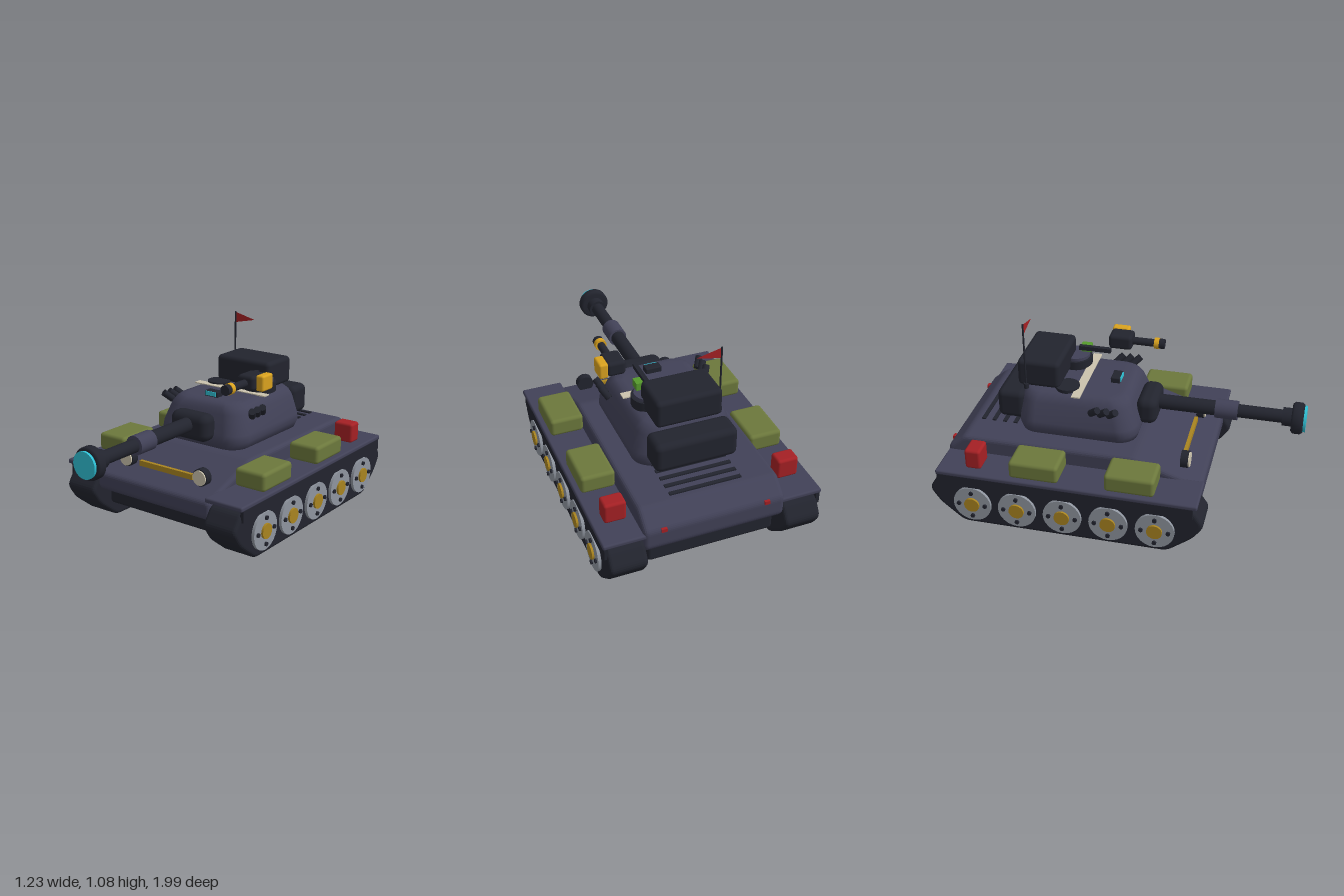
import * as THREE from 'three';
import { RoundedBoxGeometry } from 'three/addons/geometries/RoundedBoxGeometry.js';

const mat = (name, color, side = THREE.FrontSide) => {
  const m = new THREE.MeshStandardMaterial({ color, side });
  m.name = name;
  return m;
};

// Closed outline with rounded corners
function roundedShape(pts, r) {
  const v = pts.map(p => new THREE.Vector2(...p));
  const s = new THREE.Shape();
  v.forEach((p, i) => {
    const toward = q => p.clone().add(q.clone().sub(p).setLength(r));
    const a = toward(v[(i + v.length - 1) % v.length]);
    const b = toward(v[(i + 1) % v.length]);
    if (i === 0) s.moveTo(a.x, a.y); else s.lineTo(a.x, a.y);
    s.quadraticCurveTo(p.x, p.y, b.x, b.y);
  });
  s.closePath();
  return s;
}

// Side profile given as (z, y), swept across x and centred
function sideExtrude(pts, width, r, bevel) {
  const g = new THREE.ExtrudeGeometry(roundedShape(pts, r), {
    depth: width - 2 * bevel, bevelSize: bevel, bevelThickness: bevel,
    bevelOffset: -bevel, bevelSegments: 4, curveSegments: 5,
  });
  g.translate(0, 0, bevel - width / 2);
  return g.rotateY(-Math.PI / 2);
}

// Rounded-rectangle sections [y, halfWidth, zFront, zBack, cornerRadius] skinned upward
function loft(sections) {
  const pos = [], idx = [], steps = 6, n = 4 * (steps + 1);
  for (const [y, w, zf, zb, r] of sections) {
    const hz = (zf - zb) / 2, cz = (zf + zb) / 2;
    for (let c = 0; c < 4; c++) for (let k = 0; k <= steps; k++) {
      const a = (c + k / steps) * Math.PI / 2;
      const sx = c === 0 || c === 3 ? 1 : -1, sz = c < 2 ? 1 : -1;
      pos.push(sx * (w - r) + r * Math.cos(a), y, cz + sz * (hz - r) + r * Math.sin(a));
    }
  }
  for (let j = 0; j < sections.length - 1; j++) for (let i = 0; i < n; i++) {
    const a = j * n + i, b = j * n + (i + 1) % n;
    idx.push(a, a + n, b, b, a + n, b + n);
  }
  const top = (sections.length - 1) * n;
  for (let i = 1; i < n - 1; i++) {
    idx.push(0, i, i + 1);
    idx.push(top, top + i + 1, top + i);
  }
  const g = new THREE.BufferGeometry();
  g.setAttribute('position', new THREE.Float32BufferAttribute(pos, 3));
  g.setIndex(idx);
  g.computeVertexNormals();
  return g;
}

export function createModel() {
  const model = new THREE.Group();
  model.name = 'tank';
  const M = {
    hull: mat('hull slate', 0x414157), dark: mat('dark metal', 0x22242e),
    olive: mat('olive', 0x6c783c), red: mat('red', 0xa52024, THREE.DoubleSide),
    yellow: mat('yellow', 0xd9a21f), brass: mat('brass', 0xa98420),
    cyan: mat('cyan', 0x2fc0d4), cream: mat('cream', 0xcbc3ad),
    grey: mat('wheel grey', 0x8f959f), green: mat('green', 0x559a2c),
  };
  const add = (name, geo, m, x = 0, y = 0, z = 0, parent = model) => {
    const mesh = new THREE.Mesh(geo, m);
    mesh.name = name;
    mesh.position.set(x, y, z);
    parent.add(mesh);
    return mesh;
  };
  // Box given by its extents
  const box = (name, m, [x0, x1], [y0, y1], [z0, z1], r = 0) => {
    const d = [x1 - x0, y1 - y0, z1 - z0];
    const g = r ? new RoundedBoxGeometry(...d, 3, r) : new THREE.BoxGeometry(...d);
    return add(name, g, m, (x0 + x1) / 2, (y0 + y1) / 2, (z0 + z1) / 2);
  };
  const cyl = (r, h, n = 24) => new THREE.CylinderGeometry(r, r, h, n);
  const cylZ = (name, m, r, z0, z1, x, y) =>
    add(name, cyl(r, z1 - z0).rotateX(Math.PI / 2), m, x, y, (z0 + z1) / 2);
  const cylY = (name, m, r, y0, y1, x, z) => add(name, cyl(r, y1 - y0), m, x, (y0 + y1) / 2, z);

  // Hull
  add('hull', sideExtrude([[-0.85, 0.44], [0.12, 0.44], [0.5, 0.31], [0.5, 0.22], [0.44, 0.185],
    [-0.88, 0.185], [-0.95, 0.25], [-0.95, 0.36]], 0.78, 0.025, 0.025), M.hull);
  box('lowerHull', M.dark, [-0.355, 0.355], [0.115, 0.3], [-0.9, 0.44], 0.02);
  box('glacisBar', M.brass, [-0.185, 0.185], [0.355, 0.386], [0.355, 0.375]);
  for (let i = 0; i < 5; i++) {
    const z = -0.8 + i * 0.063;
    box('engineSlat', M.dark, [-0.2, 0.2], [0.43, 0.448], [z - 0.011, z + 0.011]);
  }

  // Running gear, fenders and stowage on both sides
  const track = sideExtrude([[0.55, 0.2], [0.48, 0.3], [-0.93, 0.3], [-1, 0.2],
    [-0.94, 0.11], [-0.81, 0], [0.35, 0], [0.49, 0.11]], 0.205, 0.035, 0.02);
  const side = (s, a, b) => s > 0 ? [a, b] : [-b, -a];
  for (const s of [1, -1]) {
    add('track', track, M.dark, s * 0.485);
    box('fender', M.hull, side(s, 0.37, 0.607), [0.315, 0.343], [-0.945, 0.51], 0.01);
    box('skirt', M.dark, side(s, 0.58, 0.6), [0.25, 0.32], [-0.94, 0.485]);
    box('rearBin', M.olive, side(s, 0.39, 0.58), [0.34, 0.443], [-0.53, -0.255], 0.02);
    box('frontBin', M.olive, side(s, 0.39, 0.58), [0.34, 0.443], [0, 0.273], 0.02);
    box('fuelCan', M.red, side(s, 0.425, 0.545), [0.34, 0.457], [-0.79, -0.7], 0.015);
    box('tailLight', M.red, side(s, 0.27, 0.3), [0.345, 0.365], [-0.956, -0.94]);
    cylZ('headlightRim', M.dark, 0.048, 0.36, 0.402, s * 0.257, 0.392);
    cylZ('headlightLens', M.cream, 0.042, 0.4, 0.41, s * 0.257, 0.392);

    for (let i = 0; i < 5; i++) {
      const wheel = new THREE.Group();
      wheel.name = 'roadWheel';
      wheel.position.set(s * 0.59, 0.142, 0.285 - i * 0.2575);
      model.add(wheel);
      const disc = (name, r, reach, m, y = 0, z = 0) =>
        add(name, cyl(r, 0.04, 24).rotateZ(Math.PI / 2), m, s * (reach - 0.02), y, z, wheel);
      disc('wheelDisc', 0.108, 0.014, M.grey);
      disc('wheelHub', 0.043, 0.026, M.brass);
      for (let k = 0; k < 4; k++) {
        const a = k * Math.PI / 2;
        disc('wheelBolt', 0.012, 0.024, M.dark, 0.075 * Math.sin(a), 0.075 * Math.cos(a));
      }
    }

    // Smoke launchers tilted up, outward and forward
    for (const z of [-0.02, -0.07, -0.12]) {
      const tube = add('smokeLauncher', cyl(0.02, 0.07, 12), M.dark, s * 0.297, 0.648, z);
      tube.quaternion.setFromUnitVectors(new THREE.Vector3(0, 1, 0),
        new THREE.Vector3(s * 0.5, 0.7, 0.75).normalize());
    }
  }

  // Turret
  add('turret', loft([[0.435, 0.24, 0.06, -0.53, 0.08], [0.45, 0.275, 0.095, -0.565, 0.1],
    [0.49, 0.292, 0.107, -0.575, 0.11], [0.53, 0.29, 0.098, -0.575, 0.11],
    [0.635, 0.255, 0.06, -0.562, 0.1], [0.668, 0.235, 0.043, -0.553, 0.1],
    [0.685, 0.212, 0.02, -0.538, 0.09], [0.691, 0.18, -0.01, -0.51, 0.08]]), M.hull);
  box('bustle', M.dark, [-0.232, 0.23], [0.495, 0.665], [-0.698, -0.54], 0.035);
  box('roofBox', M.dark, [-0.187, 0.182], [0.69, 0.848], [-0.585, -0.345], 0.025);
  box('roofStripe', M.cream, [-0.25, 0.245], [0.689, 0.696], [-0.262, -0.213]);
  cylY('loaderHatch', M.dark, 0.068, 0.685, 0.705, -0.143, -0.31);
  cylY('cupola', M.dark, 0.094, 0.685, 0.74, 0.13, -0.335);
  cylY('cupolaLid', M.hull, 0.08, 0.735, 0.757, 0.13, -0.335);
  box('sight', M.dark, [-0.046, 0.046], [0.685, 0.722], [-0.09, -0.037], 0.006);
  box('sightGlass', M.cyan, [-0.036, 0.036], [0.696, 0.72], [-0.04, -0.033]);

  // Main gun
  box('mantlet', M.dark, [-0.127, 0.127], [0.488, 0.645], [0.07, 0.187], 0.045);
  cylZ('barrelRear', M.dark, 0.042, 0.15, 0.51, 0, 0.58);
  cylZ('barrelSleeve', M.hull, 0.054, 0.5, 0.625, 0, 0.58);
  cylZ('barrelFront', M.dark, 0.037, 0.61, 0.9, 0, 0.58);
  cylZ('muzzleCollar', M.dark, 0.051, 0.87, 0.93, 0, 0.58);
  const muzzle = [[0, 0], [0.075, 0], [0.088, 0.012], [0.088, 0.05], [0.078, 0.065], [0, 0.065]];
  add('muzzle', new THREE.LatheGeometry(muzzle.map(p => new THREE.Vector2(...p)), 28)
    .rotateX(Math.PI / 2), M.dark, 0, 0.58, 0.921);
  cylZ('muzzleLens', M.cyan, 0.073, 0.98, 1, 0, 0.58);

  // Cupola machine gun and side-mounted launcher
  box('machineGun', M.dark, [0.115, 0.14], [0.782, 0.807], [-0.315, -0.13]);
  box('ammoBox', M.green, [0.147, 0.187], [0.757, 0.8], [-0.31, -0.25]);
  box('launcherBody', M.dark, [0.187, 0.295], [0.77, 0.855], [-0.16, -0.025], 0.02);
  box('launcherMagazine', M.yellow, [0.287, 0.338], [0.768, 0.858], [-0.16, -0.06], 0.012);
  cylZ('launcherBarrel', M.dark, 0.022, -0.04, 0.11, 0.24, 0.812);
  cylZ('launcherRing', M.yellow, 0.032, 0.1, 0.128, 0.24, 0.812);
  cylZ('launcherTip', M.dark, 0.029, 0.125, 0.158, 0.24, 0.812);

  // Antenna and pennant
  cylY('antennaBase', M.dark, 0.014, 0.68, 0.71, -0.189, -0.535);
  cylY('antenna', M.dark, 0.005, 0.68, 1.075, -0.189, -0.535);
  const pennant = new THREE.Shape([[-0.187, 1.01], [-0.05, 1.04], [-0.187, 1.072]]
    .map(p => new THREE.Vector2(...p)));
  add('pennant', new THREE.ShapeGeometry(pennant), M.red, 0, 0, -0.535);
  return model;
}
